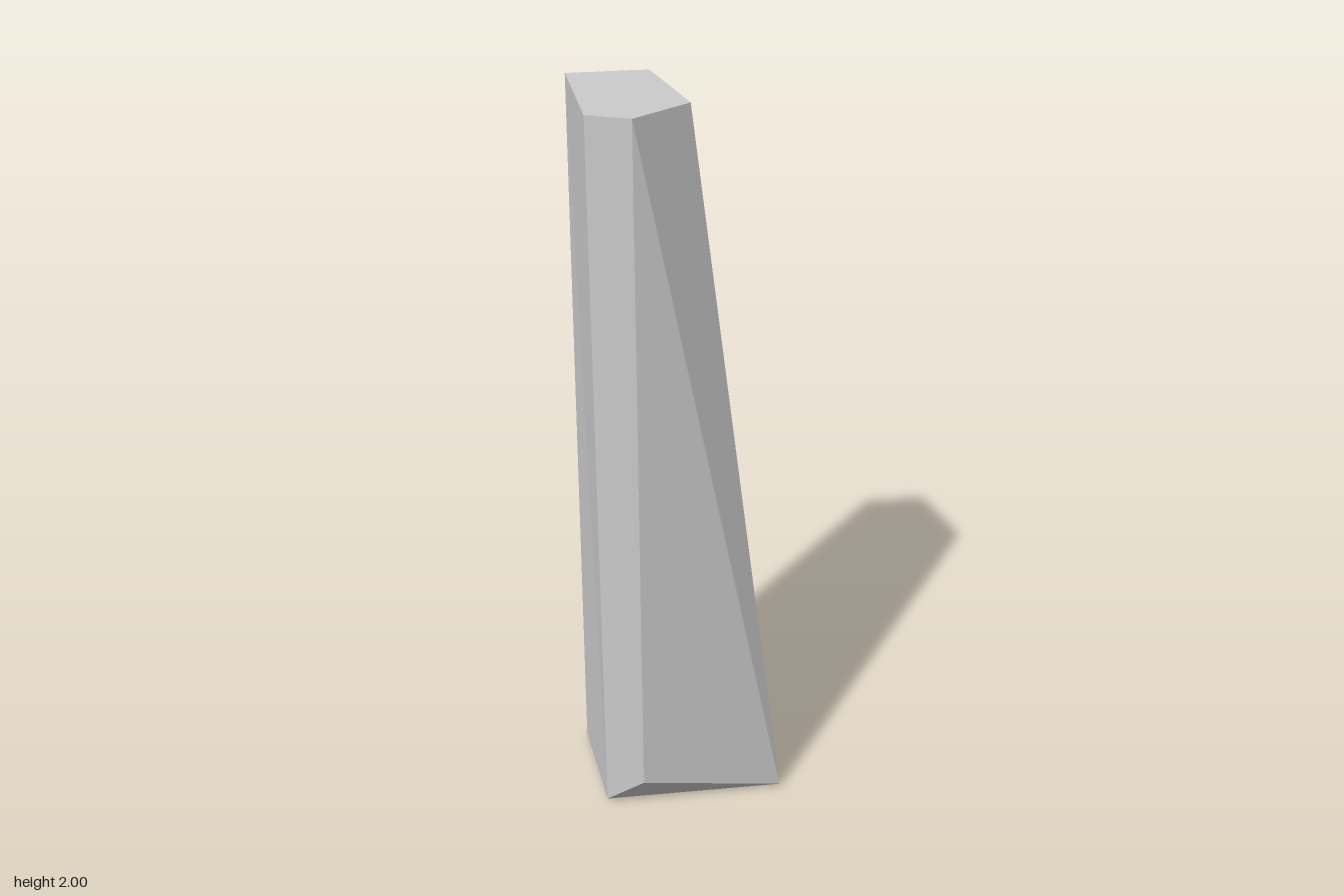
import * as THREE from 'three';

export function createModel() {
  const group = new THREE.Group();
  group.name = 'stonePillar';

  // Corners: five around the flat top, four at the foot, one front chip
  const corners = {
    topBackRight: [-0.24, 2, -0.19],
    topBackLeft: [-0.035, 2, -0.172],
    topFrontLeft: [0.002, 2, 0.104],
    topFront: [-0.154, 2, 0.19],
    topFrontRight: [-0.255, 2, 0.14],
    footBackLeft: [0.253, 0, -0.192],
    footFrontLeft: [0.253, 0.01, 0.164],
    footFrontRight: [-0.235, 0.013, 0.12],
    footBackRight: [-0.235, 0.008, -0.192],
    chip: [-0.145, 0.108, 0.19],
  };

  // Faces, counter-clockwise from outside; larger ones are fanned
  const faces = [
    // cap and underside
    ['topBackRight', 'topFrontRight', 'topFront', 'topFrontLeft', 'topBackLeft'],
    ['footBackLeft', 'footFrontLeft', 'footFrontRight', 'footBackRight'],
    // front facets and the chipped toe
    ['topFront', 'footFrontLeft', 'topFrontLeft'],
    ['topFront', 'chip', 'footFrontLeft'],
    ['chip', 'footFrontRight', 'footFrontLeft'],
    ['topFrontRight', 'chip', 'topFront'],
    ['topFrontRight', 'footFrontRight', 'chip'],
    // sloping left side
    ['topFrontLeft', 'footFrontLeft', 'footBackLeft', 'topBackLeft'],
    // back
    ['topBackRight', 'topBackLeft', 'footBackLeft', 'footBackRight'],
    // upright right side
    ['topBackRight', 'footBackRight', 'footFrontRight', 'topFrontRight'],
  ];

  const positions = [];
  for (const face of faces) {
    for (let i = 1; i < face.length - 1; i++) {
      for (const name of [face[0], face[i], face[i + 1]]) positions.push(...corners[name]);
    }
  }

  const geometry = new THREE.BufferGeometry();
  geometry.setAttribute('position', new THREE.Float32BufferAttribute(positions, 3));
  geometry.computeVertexNormals();

  const pillar = new THREE.Mesh(
    geometry,
    new THREE.MeshStandardMaterial({ color: 0xcccccc, flatShading: true })
  );
  pillar.name = 'pillar';
  group.add(pillar);
  return group;
}
